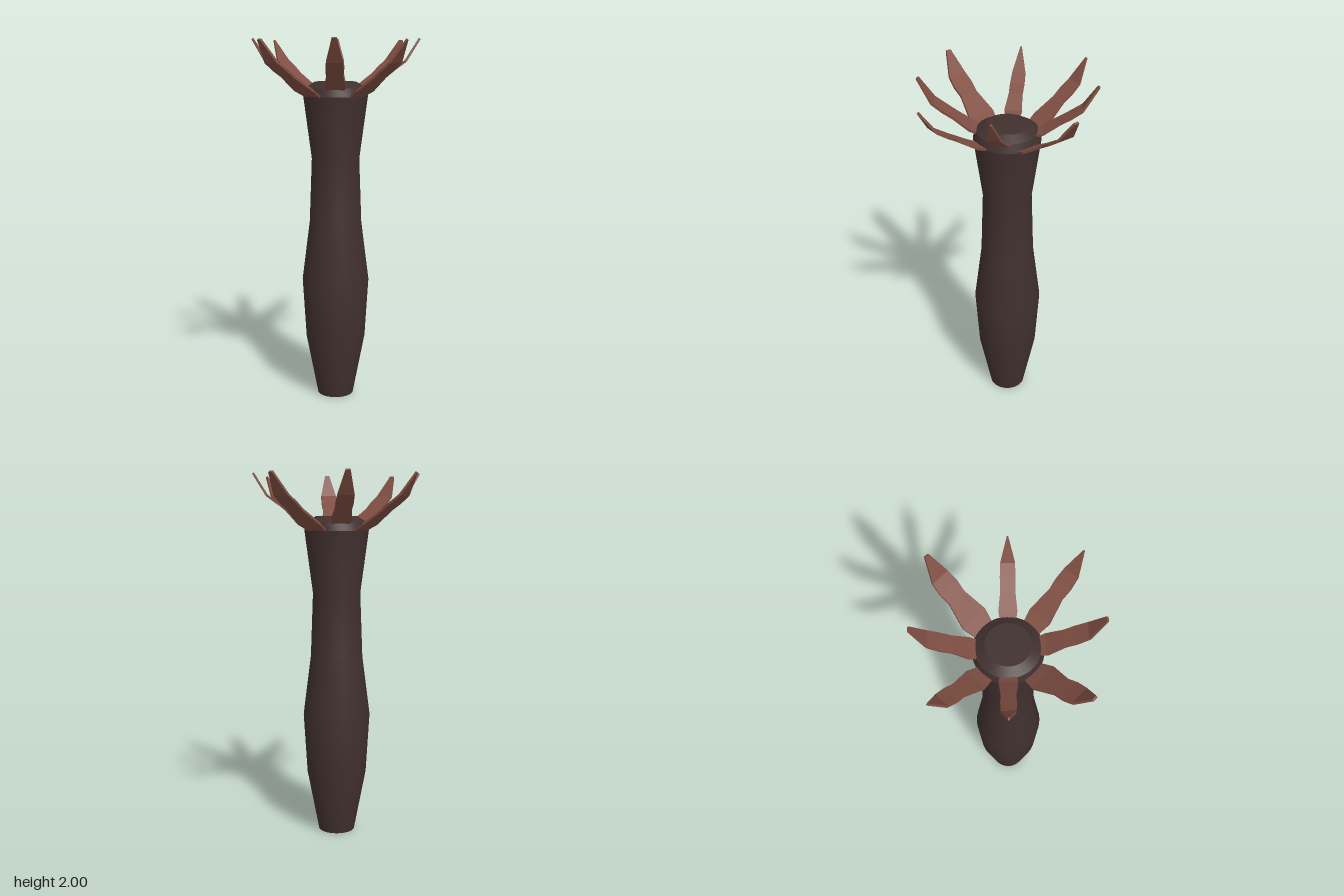
import * as THREE from 'three';
import { toCreasedNormals } from 'three/addons/utils/BufferGeometryUtils.js';

const bodyMaterial = new THREE.MeshStandardMaterial({ color: 0x40302e });
const leafMaterial = new THREE.MeshStandardMaterial({ color: 0x7f4e42, flatShading: true });

// Leaf stations from root to tip: [radius, height, half width]
const LOW_LEAF = [
  [0.16, 1.69, 0.047], [0.225, 1.725, 0.062], [0.335, 1.8, 0.041],
  [0.385, 1.833, 0.046], [0.44, 1.872, 0.041], [0.515, 1.985, 0.004],
];
const HIGH_LEAF = [
  [0.12, 1.715, 0.035], [0.185, 1.745, 0.046], [0.265, 1.8, 0.036],
  [0.32, 1.835, 0.038], [0.375, 1.875, 0.035], [0.447, 1.992, 0.004],
];
const THICKNESS = 0.012;

// A thin strip bent along the stations, running out along +z
function leafGeometry(stations, widthScale, tipHalfWidth) {
  const n = stations.length - 1;
  const geometry = new THREE.BoxGeometry(1, 1, 1, 1, 1, n);
  const p = geometry.attributes.position;
  for (let i = 0; i < p.count; i++) {
    const k = Math.round((p.getZ(i) + 0.5) * n);
    const [r, y, half] = stations[k];
    const a = stations[Math.max(k - 1, 0)];
    const b = stations[Math.min(k + 1, n)];
    const slope = Math.atan2(b[1] - a[1], b[0] - a[0]);
    const w = k === n ? tipHalfWidth : half * widthScale;
    const t = p.getY(i) * THICKNESS;
    p.setXYZ(i, p.getX(i) * 2 * w, y + t * Math.cos(slope), r - t * Math.sin(slope));
  }
  geometry.computeVertexNormals();
  return geometry;
}

export function createModel() {
  const group = new THREE.Group();

  // Round stalk with a bevelled head, closed at both ends
  const profile = [
    [0, 0], [0.1, 0], [0.165, 0.34], [0.185, 0.67], [0.143, 1.0],
    [0.13, 1.35], [0.175, 1.69], [0.16, 1.735], [0.112, 1.765], [0, 1.765],
  ].map(([x, y]) => new THREE.Vector2(x, y));
  const stalk = new THREE.Mesh(
    toCreasedNormals(new THREE.LatheGeometry(profile, 40), 0.3), bodyMaterial);
  stalk.name = 'stalk';
  group.add(stalk);

  // Eight leaves: low ones on the axes, high ones between; opposite pairs match
  const leaves = new THREE.Group();
  leaves.name = 'leaves';
  for (let i = 0; i < 8; i++) {
    const high = i % 2 === 1;
    const wide = i % 4 >= 2;
    const geometry = leafGeometry(high ? HIGH_LEAF : LOW_LEAF, wide ? 1.22 : 1, wide ? 0.012 : 0.003);
    const leaf = new THREE.Mesh(geometry, leafMaterial);
    leaf.name = high ? 'highLeaf' : 'lowLeaf';
    const skew = !high ? 0 : wide ? 0.02 : -0.03;
    leaf.rotation.y = i * Math.PI / 4 + skew;
    leaves.add(leaf);
  }
  group.add(leaves);
  return group;
}
